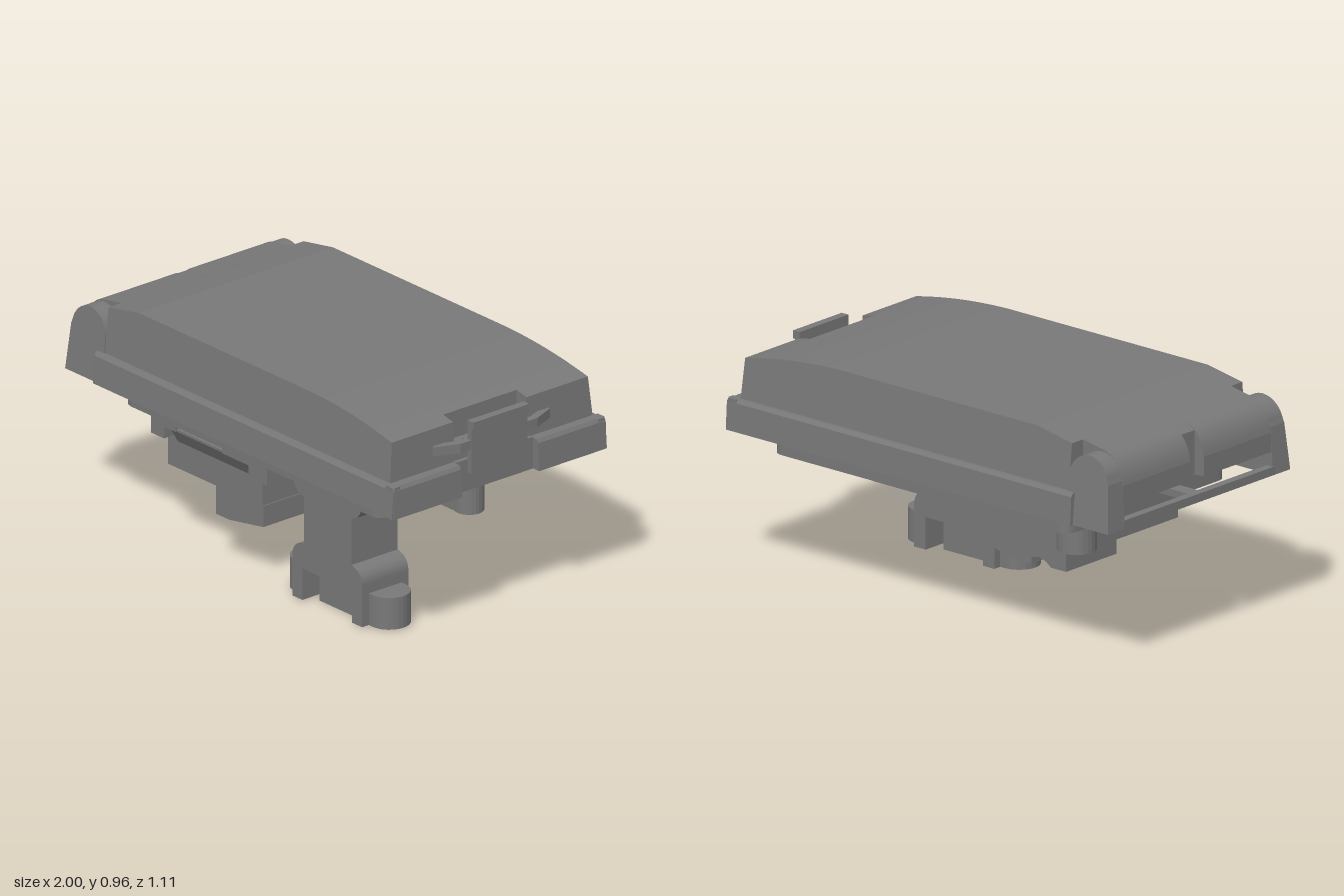
import * as THREE from 'three';

export function createModel() {
  const model = new THREE.Group();
  const grey = new THREE.MeshStandardMaterial({ color: 0x787878 });
  grey.name = 'grey plastic';

  const add = (name, geo) => {
    const mesh = new THREE.Mesh(geo, grey);
    mesh.name = name;
    model.add(mesh);
  };
  // Box given by its limits on each axis
  const box = (name, x0, x1, y0, y1, z0, z1) =>
    add(name, new THREE.BoxGeometry(x1 - x0, y1 - y0, z1 - z0)
      .translate((x0 + x1) / 2, (y0 + y1) / 2, (z0 + z1) / 2));
  const outline = (pts) => new THREE.Shape(pts.map(([a, b]) => new THREE.Vector2(a, b)));
  const extrude = (shape, depth) =>
    new THREE.ExtrudeGeometry(shape, { depth, bevelEnabled: false, curveSegments: 16 });
  // (x, y) outline drawn out along z
  const prismZ = (shape, z0, z1) => extrude(shape, z1 - z0).translate(0, 0, z0);
  // (z, y) outline drawn out along x
  const prismX = (pts, x0, x1) =>
    extrude(outline(pts.map(([z, y]) => [-z, y])), x1 - x0).rotateY(Math.PI / 2).translate(x0, 0, 0);
  // (x, z) outline drawn out along y
  const prismY = (shape, y0, y1) => extrude(shape, y1 - y0).rotateX(Math.PI / 2).translate(0, y1, 0);
  // Lean the outer side faces inwards with height
  const lean = (geo, half = 0.524) => {
    const p = geo.attributes.position;
    for (let i = 0; i < p.count; i++) {
      const z = p.getZ(i);
      if (Math.abs(z) > 0.48) p.setZ(i, Math.sign(z) * (half - (p.getY(i) - 0.74) * 0.095));
    }
    geo.computeVertexNormals();
    return geo;
  };
  const roundRect = (Type, x0, x1, z, r) => {
    const s = new Type();
    s.moveTo(x0 + r, -z);
    s.lineTo(x1 - r, -z); s.quadraticCurveTo(x1, -z, x1, -z + r);
    s.lineTo(x1, z - r); s.quadraticCurveTo(x1, z, x1 - r, z);
    s.lineTo(x0 + r, z); s.quadraticCurveTo(x0, z, x0, z - r);
    s.lineTo(x0, -z + r); s.quadraticCurveTo(x0, -z, x0 + r, -z);
    return s;
  };
  // Round screw boss with a blind hole in its lower end
  const boss = (name, x, z, r, y0, y1, hole = r * 0.4) => {
    const pts = [[0, y0 + 0.05], [hole, y0 + 0.05], [hole, y0], [r, y0], [r, y1], [0, y1]];
    const geo = new THREE.LatheGeometry(pts.map(([a, b]) => new THREE.Vector2(a, b)), 24).toNonIndexed();
    geo.computeVertexNormals();
    add(name, geo.translate(x, 0, z));
  };

  // Crowned lid in three strips; the middle one has a pocket for the latch
  const lidShape = (pocket) => {
    const s = new THREE.Shape();
    s.moveTo(-0.78, 0.64);
    s.lineTo(0.945, 0.64);
    if (pocket) {
      s.lineTo(0.936, 0.8);
      s.lineTo(0.87, 0.8);
      s.lineTo(0.87, 0.915);
    } else {
      s.lineTo(0.93, 0.903);
      s.lineTo(0.87, 0.915);
    }
    s.quadraticCurveTo(0.66, 0.956, 0.44, 0.96);
    s.lineTo(-0.6, 0.96);
    s.lineTo(-0.78, 0.927);
    return s;
  };
  add('lidMiddle', prismZ(lidShape(true), -0.19, 0.19));
  add('lidSide', lean(prismZ(lidShape(false), 0.19, 0.5)));
  add('lidSide', lean(prismZ(lidShape(false), -0.5, -0.19)));

  // Hinge barrel with a small notch in the middle
  const barrel = (x0) => {
    const s = new THREE.Shape();
    s.moveTo(-0.77, 0.929);
    s.lineTo(-0.9, 0.905);
    if (x0 < -0.95) s.quadraticCurveTo(-0.975, 0.88, x0, 0.78);
    else s.lineTo(x0, 0.88);
    s.lineTo(x0, 0.7);
    s.lineTo(-0.77, 0.68);
    return s;
  };
  add('hingeBarrel', prismZ(barrel(-0.99), -0.44, -0.04));
  add('hingeBarrel', prismZ(barrel(-0.99), 0.04, 0.44));
  add('hingeNotch', prismZ(barrel(-0.94), -0.04, 0.04));

  // Hinge ears with rounded tops
  const ear = new THREE.Shape();
  ear.moveTo(-1, 0.605);
  ear.lineTo(-0.78, 0.605);
  ear.lineTo(-0.78, 0.8);
  ear.absarc(-0.88, 0.8, 0.1, 0, Math.PI * 0.93, false);
  ear.lineTo(-0.985, 0.8);
  add('hingeEar', lean(prismZ(ear, 0.44, 0.53), 0.529));
  add('hingeEar', lean(prismZ(ear, -0.53, -0.44), 0.529));
  box('hingeBar', -1, -0.965, 0.605, 0.64, -0.45, 0.45);
  box('hingeBarRib', -0.98, -0.8, 0.61, 0.64, -0.03, 0.03);

  // Sloping rim around the base, open at the latch
  for (const s of [-1, 1]) {
    const rim = [[0.515, 0.605], [0.557, 0.605], [0.55, 0.722], [0.54, 0.737], [0.515, 0.737]];
    add('sideRim', prismX(rim.map(([z, y]) => [s * z, y]), -0.815, 0.988));
    const end = outline([[0.94, 0.605], [0.995, 0.605], [0.989, 0.722], [0.98, 0.737], [0.94, 0.737]]);
    add('endRim', prismZ(end, s > 0 ? 0.2 : -0.55, s > 0 ? 0.55 : -0.2));
    // Sprung arms running from the lid out to the latch plate
    const arm = outline([[0.93, s * 0.3], [0.945, s * 0.3], [0.985, s * 0.2], [0.985, s * 0.14],
      [0.955, s * 0.14], [0.955, s * 0.19], [0.93, s * 0.25]]);
    add('latchArm', prismY(arm, 0.79, 0.83));
  }
  box('latchWall', 0.935, 0.958, 0.605, 0.74, -0.2, 0.2);

  // Latch plate with hooked top
  box('latchPlate', 0.965, 0.988, 0.685, 0.88, -0.145, 0.145);
  box('latchHook', 0.965, 1, 0.877, 0.91, -0.145, 0.145);
  box('latchBridge', 0.93, 0.97, 0.8, 0.825, -0.145, 0.145);

  // Base floor, lip and recessed tray
  box('baseFloor', -0.815, 0.945, 0.635, 0.66, -0.52, 0.52);
  const lip = roundRect(THREE.Shape, -0.79, 0.91, 0.5, 0.05);
  lip.holes.push(roundRect(THREE.Path, -0.76, 0.88, 0.485, 0.05));
  add('baseLip', prismY(lip, 0.6, 0.64));
  const wall = roundRect(THREE.Shape, -0.73, 0.82, 0.476, 0.06);
  wall.holes.push(roundRect(THREE.Path, -0.7, 0.79, 0.446, 0.05));
  add('trayWall', prismY(wall, 0.527, 0.64));
  add('trayFloor', prismY(roundRect(THREE.Shape, -0.72, 0.81, 0.465, 0.05), 0.555, 0.64));
  box('trayLedge', -0.6, 0.6, 0.53, 0.56, -0.43, -0.385);

  // Stand with flared ends and two legs
  const stand = new THREE.Shape();
  stand.moveTo(0.24, 0.56);
  stand.lineTo(0.24, 0.53);
  stand.quadraticCurveTo(0.25, 0.455, 0.31, 0.45);
  stand.lineTo(0.31, 0.25);
  stand.quadraticCurveTo(0.24, 0.24, 0.24, 0.18);
  stand.lineTo(0.24, 0.005);
  stand.lineTo(0.3, 0.005);
  stand.lineTo(0.3, 0.14);
  stand.lineTo(0.6, 0.14);
  stand.lineTo(0.6, 0.005);
  stand.lineTo(0.66, 0.005);
  stand.lineTo(0.66, 0.18);
  stand.quadraticCurveTo(0.66, 0.24, 0.595, 0.25);
  stand.lineTo(0.595, 0.45);
  stand.quadraticCurveTo(0.65, 0.455, 0.66, 0.53);
  stand.lineTo(0.66, 0.56);
  add('stand', prismZ(stand, 0.19, 0.43));
  box('standPlug', 0.34, 0.56, 0, 0.15, 0.25, 0.375);
  for (const [x, inner] of [[0.215, 0.25], [0.685, 0.65]]) {
    boss('standFoot', x, 0.31, 0.085, 0.005, 0.14, 0.03);
    box('standFootWeb', Math.min(x, inner), Math.max(x, inner), 0.005, 0.14, 0.225, 0.395);
  }

  // Connector housing reaching the front edge, with a sloping brow
  box('connectorHousing', -0.51, 0.06, 0.325, 0.515, -0.15, 0.43);
  box('connectorNeck', -0.44, 0.03, 0.51, 0.57, -0.13, 0.42);
  add('connectorBrow', prismX([[0.42, 0.44], [0.43, 0.44], [0.47, 0.505], [0.47, 0.515], [0.42, 0.515]], -0.45, 0.03));

  // Plugs under the housing: a long sloping one and a shorter notched one
  const longPlug = outline([[-0.22, 0.33], [-0.22, 0.205], [-0.14, 0.205], [0.065, 0.24], [0.065, 0.33]]);
  add('connectorLongPlug', prismZ(longPlug, -0.11, 0.43));
  const shortPlug = new THREE.Shape();
  shortPlug.moveTo(-0.4, 0.33);
  shortPlug.lineTo(-0.4, 0.21);
  shortPlug.lineTo(-0.32, 0.21);
  shortPlug.quadraticCurveTo(-0.27, 0.255, -0.22, 0.23);
  shortPlug.lineTo(-0.22, 0.33);
  add('connectorShortPlug', prismZ(shortPlug, -0.11, 0.19));

  // Strips and blocks below the front edge
  box('frontStrip', -0.56, -0.48, 0.455, 0.56, 0.19, 0.476);
  box('frontStrip', 0.03, 0.14, 0.455, 0.56, 0.19, 0.476);
  box('frontStrip', -0.48, -0.41, 0.505, 0.56, 0.19, 0.476);
  box('frontStrip', -0.13, 0.03, 0.505, 0.56, 0.19, 0.476);

  // Socket: four walls and a floor set deep inside, with a block beside the stand
  box('socketFloor', 0.27, 0.57, 0.45, 0.57, -0.14, 0.1);
  box('socketWall', 0.26, 0.3, 0.38, 0.57, -0.15, 0.105);
  box('socketWall', 0.54, 0.58, 0.38, 0.57, -0.15, 0.105);
  box('socketWall', 0.3, 0.54, 0.38, 0.57, -0.15, -0.11);
  box('socketWall', 0.3, 0.54, 0.38, 0.57, 0.065, 0.105);

  // Screw bosses and small fittings
  boss('screwBoss', 0.765, -0.035, 0.06, 0.415, 0.6);
  box('screwBossWeb', 0.66, 0.765, 0.418, 0.57, -0.095, 0.025);
  boss('screwBoss', -0.645, -0.325, 0.08, 0.415, 0.57);
  box('clip', -0.69, -0.59, 0.42, 0.495, -0.255, -0.18);
  box('clipStem', -0.67, -0.61, 0.49, 0.57, -0.215, -0.18);
  box('rib', -0.54, -0.48, 0.42, 0.57, -0.25, -0.18);
  box('component', -0.35, -0.13, 0.45, 0.57, -0.18, -0.14);
  for (let i = 0; i < 5; i++) {
    add('pin', new THREE.CylinderGeometry(0.012, 0.012, 0.05, 10).translate(0.08 + i * 0.05, 0.54, -0.27));
  }

  return model;
}
